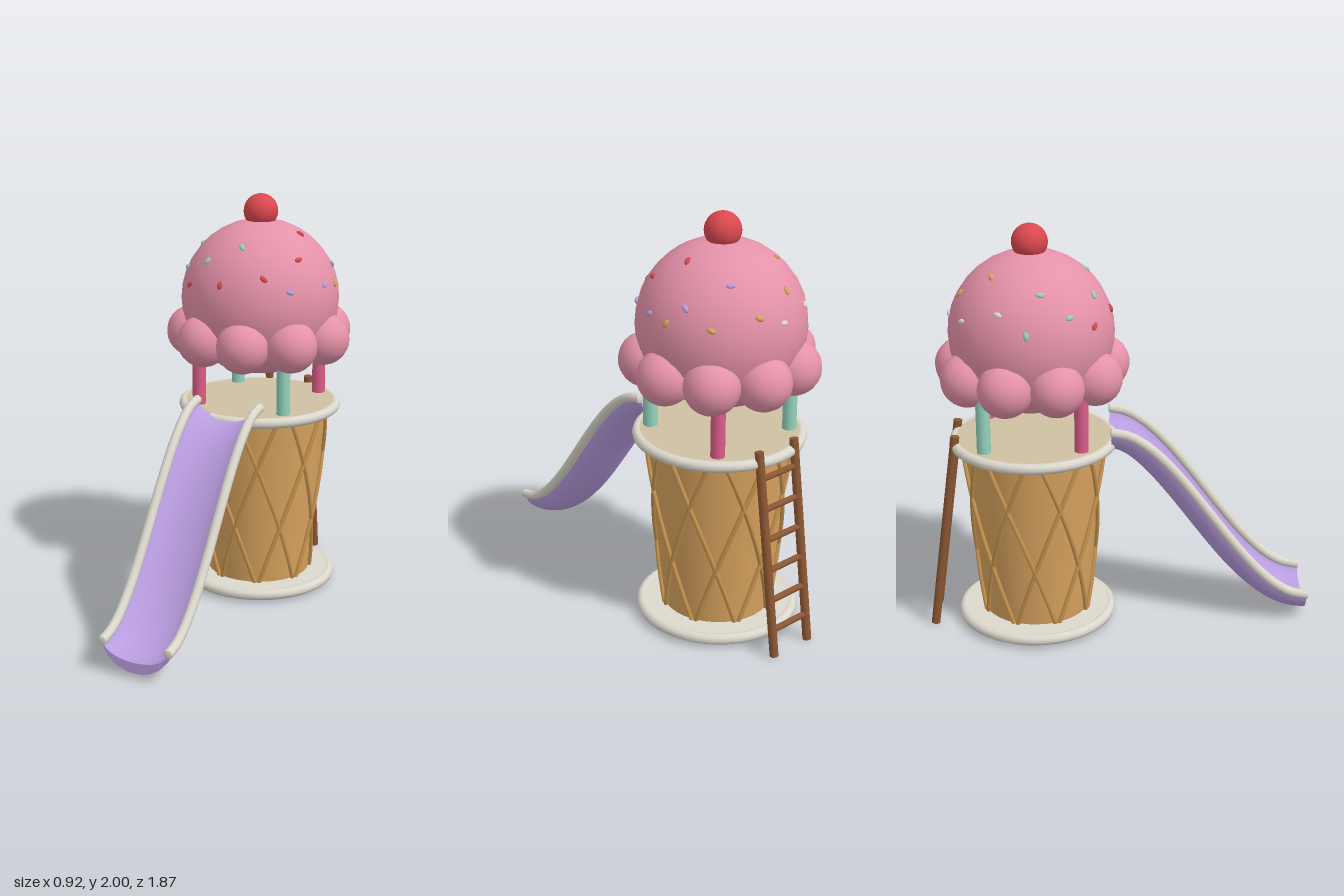
import * as THREE from 'three';

const mat = (name, color, side = THREE.FrontSide) => {
  const m = new THREE.MeshStandardMaterial({ color, side });
  m.name = name;
  return m;
};

const CX = -0.012, CZ = -0.405; // tower axis

export function createModel() {
  const scoopPink = mat('scoop pink', 0xe592a9);
  const red = mat('cherry red', 0xdb4850);
  const mint = mat('mint', 0x93d3bd);
  const hotPink = mat('hot pink', 0xdb5d88);
  const lavender = mat('lavender', 0xb99de0, THREE.DoubleSide);
  const cream = mat('cream', 0xdcd8cd);
  const beige = mat('floor beige', 0xcfc0a2);
  const waffle = mat('waffle', 0xd9a45f);
  const waffleDark = mat('waffle lattice', 0xc8954f);
  const brown = mat('ladder brown', 0x8c5733);

  const model = new THREE.Group();
  model.name = 'iceCreamSlide';
  const tower = new THREE.Group();
  tower.name = 'tower';
  tower.position.set(CX, 0, CZ);
  model.add(tower);

  const add = (parent, name, geo, material, x = 0, y = 0, z = 0) => {
    const mesh = new THREE.Mesh(geo, material);
    mesh.name = name;
    mesh.position.set(x, y, z);
    parent.add(mesh);
    return mesh;
  };

  // round rod between two points
  const rod = (parent, name, a, b, r, material) => {
    const d = b.clone().sub(a);
    const m = add(parent, name, new THREE.CylinderGeometry(r, r, d.length(), 10), material);
    m.position.copy(a).addScaledVector(d, 0.5);
    m.quaternion.setFromUnitVectors(new THREE.Vector3(0, 1, 0), d.normalize());
  };

  // base and platform: discs with rounded rims
  const disc = (name, y, R, r, top) => {
    add(tower, name, new THREE.CylinderGeometry(R, R, r * 1.9, 40), top, 0, y);
    const rim = add(tower, name + 'Rim', new THREE.TorusGeometry(R, r, 10, 48), cream, 0, y);
    rim.rotation.x = Math.PI / 2;
  };
  disc('base', 0.038, 0.363, 0.027, cream);
  disc('platform', 0.942, 0.381, 0.026, beige);

  // tapered waffle body
  const Y0 = 0.05, Y1 = 0.93, R0 = 0.258, R1 = 0.34;
  add(tower, 'waffleCone', new THREE.CylinderGeometry(R1, R0, Y1 - Y0, 32, 1, true), waffle, 0, (Y0 + Y1) / 2);

  // crossing lattice strands
  const strands = 8, twist = Math.PI / 3;
  for (let i = 0; i < strands; i++) {
    for (const s of [-1, 1]) {
      const pts = [];
      for (let k = 0; k <= 8; k++) {
        const t = k / 8;
        const a = (i / strands) * Math.PI * 2 + s * twist * (t - 0.35);
        const r = R0 + (R1 - R0) * t + 0.006;
        pts.push(new THREE.Vector3(Math.cos(a) * r, Y0 + (Y1 - Y0) * t, Math.sin(a) * r));
      }
      add(tower, 'latticeStrand', new THREE.TubeGeometry(new THREE.CatmullRomCurve3(pts), 20, 0.011, 6), waffleDark);
    }
  }

  // four posts, alternating colours
  for (const sx of [-1, 1]) for (const sz of [-1, 1]) {
    add(tower, 'post', new THREE.CylinderGeometry(0.033, 0.033, 0.4, 16),
      sx * sz > 0 ? mint : hotPink, sx * 0.228, 1.15, sz * 0.228);
  }

  // scoop with a shallow pointed underside
  const SY = 1.485, SR = 0.392;
  const profile = [new THREE.Vector2(0, SY - SR)];
  for (let deg = 150; deg >= 0; deg -= 10) {
    const a = THREE.MathUtils.degToRad(deg);
    profile.push(new THREE.Vector2(Math.max(0, Math.sin(a) * SR), SY + Math.cos(a) * SR));
  }
  add(tower, 'scoop', new THREE.LatheGeometry(profile, 28), scoopPink);

  // ring of drips around the scoop
  for (let i = 0; i < 9; i++) {
    const a = (i / 9) * Math.PI * 2;
    add(tower, 'scoopPuff', new THREE.SphereGeometry(0.129, 20, 14), scoopPink,
      Math.cos(a) * 0.34, 1.307, Math.sin(a) * 0.34);
  }
  add(tower, 'cherry', new THREE.SphereGeometry(0.085, 24, 16), red, 0, 1.915, 0);

  // sprinkles: x and z offset from the axis, colour index
  const sprinkleColors = [red, mint, lavender, waffle, cream];
  const sprinkles = [
    [-0.01, -0.39, 4], [0.11, -0.35, 3], [-0.08, -0.32, 3], [-0.21, -0.31, 4], [-0.17, -0.17, 3],
    [0.17, -0.23, 2], [0.30, -0.25, 3], [0.33, -0.12, 2], [0.21, 0, 0], [0.40, -0.05, 3],
    [0.37, 0.07, 2], [0.27, 0.16, 0], [0.28, 0.27, 2], [0.16, 0.32, 0], [0.02, 0.26, 1],
    [-0.045, 0.37, 0], [-0.15, 0.29, 1], [-0.25, 0.30, 0], [-0.31, 0.18, 1], [-0.29, 0.05, 1],
    [-0.32, -0.14, 4], [-0.39, -0.015, 1],
  ];
  const sprinkleGeo = new THREE.SphereGeometry(0.013, 8, 6).scale(1.7, 0.8, 1);
  sprinkles.forEach(([x, z, c], i) => {
    const n = new THREE.Vector3(x, 0, z);
    n.clampLength(0, 0.38);
    n.y = Math.sqrt(SR * SR - n.x * n.x - n.z * n.z);
    n.normalize();
    const m = add(tower, 'sprinkle', sprinkleGeo, sprinkleColors[c], n.x * SR, SY + n.y * SR, n.z * SR);
    m.quaternion.setFromUnitVectors(new THREE.Vector3(0, 1, 0), n);
    m.rotateY(i * 2.4);
  });

  // slide path: a smooth S from platform to ground
  const ZA = -0.035, ZB = 0.93, YA = 1.03, YB = 0.155, HALF = 0.165;
  const steps = 28;
  const path = (t) => ({ z: ZA + (ZB - ZA) * t, y: YA + (YB - YA) * t * t * (3 - 2 * t) });
  const slope = (t) => ((YB - YA) * 6 * t * (1 - t)) / (ZB - ZA);

  // crescent cross-section: outer curve, then inner curve back
  const section = [];
  const arc = 12;
  for (let k = 0; k <= arc; k++) {
    const a = (k / arc) * Math.PI;
    section.push([HALF * Math.cos(a), 0.13 * Math.sin(a)]);
  }
  for (let k = arc; k >= 0; k--) {
    const a = (k / arc) * Math.PI;
    section.push([HALF * Math.cos(a), 0.078 * Math.sin(a)]);
  }
  const n = section.length, pos = [], idx = [];
  const ring = (t) => {
    const p = path(t), s = slope(t), l = Math.hypot(1, s);
    for (const [x, d] of section) pos.push(CX + x, p.y - d / l, p.z + (d * s) / l);
  };
  for (let i = 0; i <= steps; i++) ring(i / steps);
  for (let i = 0; i < steps; i++) for (let k = 0; k < n; k++) {
    if (k === arc || k === n - 1) continue;
    const a = i * n + k, b = a + 1;
    idx.push(a, a + n, b, b, a + n, b + n);
  }
  for (const t of [0, 1]) { // end caps
    const o = pos.length / 3;
    ring(t);
    for (let k = 0; k < arc; k++) {
      const a = o + k, b = a + 1, c = o + n - 1 - k, d = c - 1;
      if (t) idx.push(a, c, b, b, c, d);
      else idx.push(a, b, c, b, d, c);
    }
  }
  const trough = new THREE.BufferGeometry();
  trough.setAttribute('position', new THREE.Float32BufferAttribute(pos, 3));
  trough.setIndex(idx);
  trough.computeVertexNormals();
  add(model, 'slideTrough', trough, lavender);

  // slide handrails with closed ends
  for (const s of [-1, 1]) {
    const x = CX + s * 0.167, pts = [];
    for (let i = 0; i <= 12; i++) {
      const p = path(i / 12);
      pts.push(new THREE.Vector3(x, p.y, p.z));
    }
    add(model, 'slideRail', new THREE.TubeGeometry(new THREE.CatmullRomCurve3(pts), 36, 0.023, 10), cream);
    for (const p of [pts[0], pts[12]]) {
      add(model, 'railEnd', new THREE.SphereGeometry(0.023, 10, 8).scale(1, 1, 0.25), cream, p.x, p.y, p.z);
    }
  }

  // leaning ladder at the back
  const ladderPoint = (x, t) => new THREE.Vector3(CX + x, 0.004 + t * 0.996, -0.91 + t * 0.135);
  for (const s of [-1, 1]) rod(model, 'ladderRail', ladderPoint(s * 0.11, 0), ladderPoint(s * 0.11, 1), 0.021, brown);
  for (let i = 0; i < 6; i++) {
    const t = 0.13 + i * 0.148;
    rod(model, 'ladderRung', ladderPoint(-0.11, t), ladderPoint(0.11, t), 0.015, brown);
  }

  return model;
}
